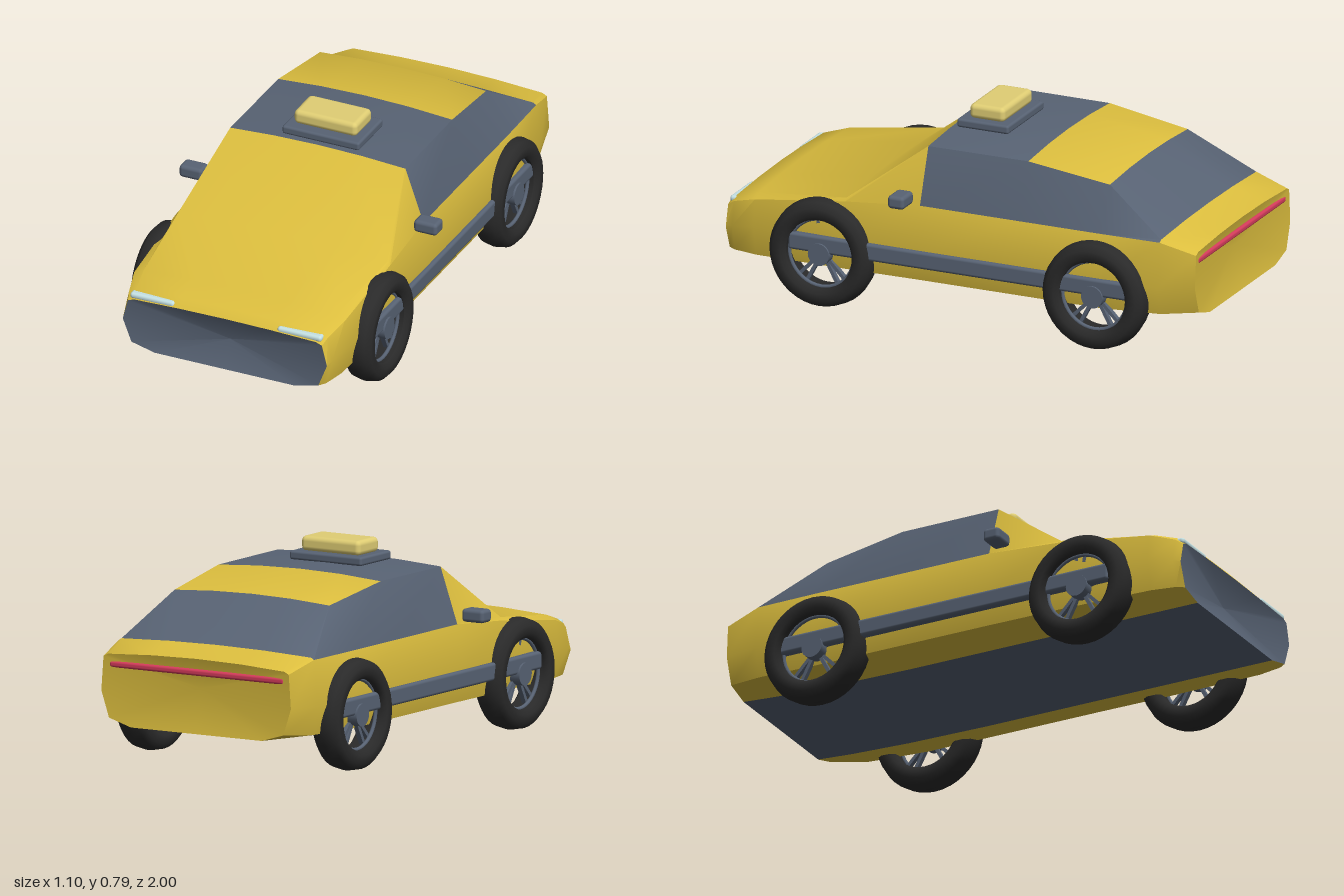
import * as THREE from 'three';
import { toCreasedNormals } from 'three/addons/utils/BufferGeometryUtils.js';
import { RoundedBoxGeometry } from 'three/addons/geometries/RoundedBoxGeometry.js';

const mat = (name, color) => {
  const m = new THREE.MeshStandardMaterial({ color });
  m.name = name;
  return m;
};

// Body cross-sections from nose to tail:
// z, floorY, sillX, sillY, sideX, sideY, beltX, beltY, roofX, roofY, crownY
const SECTIONS = [
  [1.0, 0.14, 0.40, 0.165, 0.437, 0.26, 0.415, 0.345, 0.39, 0.355, 0.363],
  [0.97, 0.14, 0.42, 0.165, 0.445, 0.27, 0.425, 0.365, 0.395, 0.382, 0.395],
  [0.87, 0.14, 0.44, 0.165, 0.465, 0.285, 0.45, 0.395, 0.41, 0.412, 0.428],
  [0.48, 0.14, 0.45, 0.168, 0.477, 0.29, 0.46, 0.448, 0.448, 0.46, 0.475],
  [0.165, 0.14, 0.45, 0.17, 0.48, 0.29, 0.452, 0.475, 0.375, 0.695, 0.71],
  [-0.26, 0.14, 0.45, 0.17, 0.48, 0.29, 0.452, 0.475, 0.372, 0.695, 0.712],
  [-0.6, 0.145, 0.45, 0.17, 0.478, 0.29, 0.452, 0.475, 0.355, 0.645, 0.66],
  [-0.855, 0.155, 0.44, 0.18, 0.467, 0.295, 0.448, 0.475, 0.435, 0.483, 0.495],
  [-1.0, 0.165, 0.40, 0.195, 0.435, 0.3, 0.425, 0.435, 0.405, 0.445, 0.46],
];

function sectionRing([z, fy, sx, sy, mx, my, bx, by, rx, ry, cy]) {
  const half = [[0, fy], [0.3, fy], [sx, sy], [mx, my], [bx, by], [rx, ry], [rx / 2, ry + (cy - ry) * 0.75], [0, cy]];
  const mirrored = half.slice(1, -1).reverse().map(([x, y]) => [-x, y]);
  return [...half, ...mirrored].map(([x, y]) => [x, y, z]);
}

function bodyGeometry() {
  const rings = SECTIONS.map(sectionRing);
  const n = rings[0].length;
  const tris = [[], []]; // 0 paint, 1 slate
  for (let s = 0; s < rings.length - 1; s++) {
    const a = rings[s], b = rings[s + 1];
    for (let k = 0; k < n; k++) {
      const j = (k + 1) % n;
      const strip = k < 7 ? k : 13 - k; // 0 floor, 4 window, 5-6 roof
      const cabin = s >= 4 && s <= 6;
      const slate = strip === 0 || (cabin && (strip === 4 || (strip > 4 && s !== 5)));
      tris[slate ? 1 : 0].push(...a[k], ...b[k], ...b[j], ...a[k], ...b[j], ...a[j]);
    }
  }
  // Slightly hollow nose and tail panels
  const front = rings[0], back = rings[rings.length - 1];
  for (let k = 0; k < n; k++) {
    const j = (k + 1) % n;
    tris[1].push(0, 0.25, 0.95, ...front[k], ...front[j]);
    tris[0].push(0, 0.34, -0.965, ...back[j], ...back[k]);
  }
  const g = new THREE.BufferGeometry();
  g.setAttribute('position', new THREE.Float32BufferAttribute([...tris[0], ...tris[1]], 3));
  g.addGroup(0, tris[0].length / 3, 0);
  g.addGroup(tris[0].length / 3, tris[1].length / 3, 1);
  return toCreasedNormals(g, 0.6);
}

export function createModel() {
  const paint = mat('yellow paint', 0xdcbe3e);
  const slate = mat('slate grey', 0x586374);
  const rubber = mat('black rubber', 0x2a2a2a);
  const lampGlass = mat('pale yellow lamp', 0xe0ce74);
  const headGlass = mat('pale blue glass', 0xc4e0e2);
  const red = mat('tail red', 0xd63c5c);

  const car = new THREE.Group();
  car.name = 'car';
  const add = (name, geo, material, x = 0, y = 0, z = 0, parent = car) => {
    const m = new THREE.Mesh(geo, material);
    m.name = name;
    m.position.set(x, y, z);
    parent.add(m);
    return m;
  };

  add('body', bodyGeometry(), [paint, slate]);

  // Roof lamp on its plate
  add('roofLampBase', new RoundedBoxGeometry(0.33, 0.035, 0.22, 2, 0.01), slate, 0, 0.726, 0.033);
  add('roofLamp', new RoundedBoxGeometry(0.27, 0.06, 0.15, 2, 0.02), lampGlass, 0, 0.77, 0.03);

  // Tail light bar
  add('tailLight', new RoundedBoxGeometry(0.8, 0.026, 0.03, 2, 0.01), red, 0, 0.405, -0.985);

  // Wheel geometry, axle along x
  const tyreProfile = [
    [0.14, -0.045], [0.158, -0.062], [0.19, -0.062], [0.212, -0.042], [0.22, 0],
    [0.212, 0.042], [0.19, 0.062], [0.158, 0.062], [0.14, 0.045], [0.14, -0.045],
  ].map(([r, y]) => new THREE.Vector2(r, y));
  const tyreGeo = new THREE.LatheGeometry(tyreProfile, 40).rotateZ(Math.PI / 2);
  const rimGeo = new THREE.TorusGeometry(0.138, 0.008, 8, 40).rotateY(Math.PI / 2);
  const hubGeo = new THREE.CylinderGeometry(0.045, 0.045, 0.1, 20).rotateZ(Math.PI / 2);
  const spokeGeo = new THREE.BoxGeometry(0.02, 0.1, 0.014).translate(0, 0.09, 0);

  for (const side of [-1, 1]) {
    for (const [end, z] of [['front', 0.575], ['rear', -0.59]]) {
      const wheel = new THREE.Group();
      wheel.name = end + 'Wheel';
      wheel.position.set(side * 0.4525, 0.228, z);
      car.add(wheel);
      add('tyre', tyreGeo, rubber, 0, 0, 0, wheel);
      add('rim', rimGeo, slate, side * 0.02, 0, 0, wheel);
      add('hub', hubGeo, slate, 0, 0, 0, wheel);
      // Five paired spokes
      for (let i = 0; i < 5; i++) {
        for (const d of [-0.14, 0.14]) {
          add('spoke', spokeGeo, slate, side * 0.005, 0, 0, wheel).rotation.x = (i * Math.PI * 2) / 5 + d;
        }
      }
    }
    add('sideStrip', new RoundedBoxGeometry(0.04, 0.07, 1.47, 2, 0.012), slate, side * 0.475, 0.265, -0.025);
    add('mirror', new RoundedBoxGeometry(0.1, 0.052, 0.07, 2, 0.015), slate, side * 0.502, 0.507, 0.225);
    add('headlight', new RoundedBoxGeometry(0.19, 0.026, 0.045, 3, 0.012), headGlass, side * 0.315, 0.366, 0.975);
  }
  return car;
}
